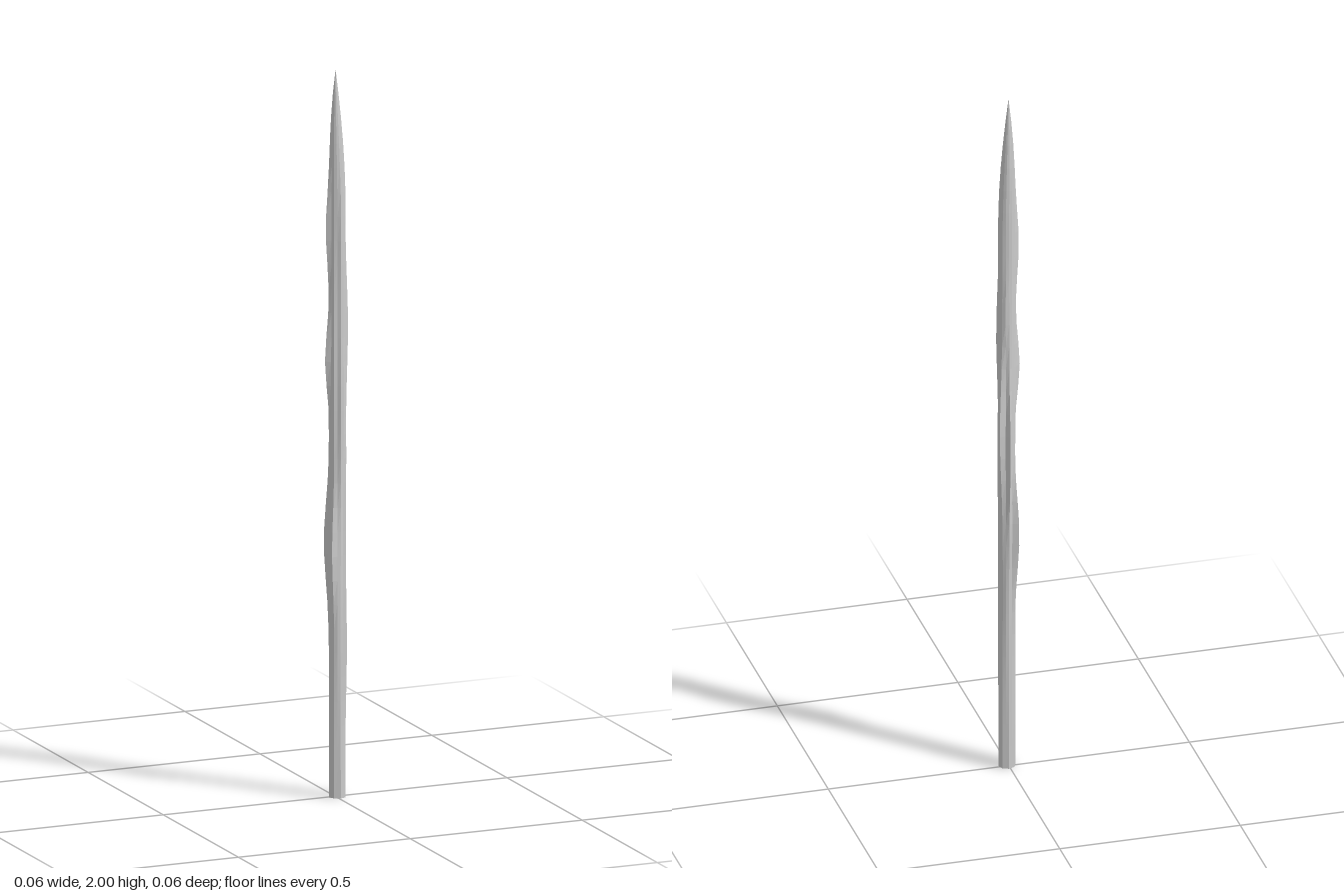
import * as THREE from 'three';

const SIDES = 16, RINGS = 30, HEIGHT = 2;

// Raised splinter ridges: [side index, height of the bulge, extra radius, half length]
const ridges = [
  [6, 0.68, 0.016, 0.16], [10, 0.70, 0.014, 0.18],
  [14, 1.0, 0.014, 0.22], [12, 0.95, 0.013, 0.2],
  [8, 1.2, 0.013, 0.13], [1, 1.3, 0.006, 0.2],
  [3, 1.05, 0.005, 0.2], [4, 1.55, 0.004, 0.18],
  [8, 1.56, 0.009, 0.14], [0, 0.95, 0.004, 0.25],
  [13, 1.35, 0.005, 0.15], [2, 0.4, 0.004, 0.2],
];

// Core radius: straight shaft, then a curved taper to a sharp point
function coreRadius(y) {
  const t = Math.max(0, (y - 1.6) / 0.4);
  return 0.0225 * (1 - Math.pow(t, 2.2)) + 0.0002;
}

// Radius of one corner of the rough cross-section
function radiusAt(side, y) {
  const taper = coreRadius(y) / 0.0225;
  let r = 0.0225 + (side % 2 ? -0.0012 : 0.0006);
  r += 0.0012 * Math.sin(side * 2.4 + y * 4.5) * Math.min(1, y * 2);
  for (const [s, h, extra, len] of ridges) {
    const gap = Math.min((side - s + SIDES) % SIDES, (s - side + SIDES) % SIDES);
    const spread = gap === 0 ? 1 : gap === 1 ? 0.2 : 0;
    r += extra * spread * Math.exp(-Math.pow((y - h) / len, 2) * 1.5);
  }
  return r * taper;
}

function spikeGeometry() {
  const geo = new THREE.CylinderGeometry(1, 1, HEIGHT, SIDES, RINGS);
  const pos = geo.attributes.position;
  for (let i = 0; i < pos.count; i++) {
    const x = pos.getX(i), z = pos.getZ(i), y = pos.getY(i) + HEIGHT / 2;
    const side = (Math.round(Math.atan2(z, x) / (Math.PI * 2 / SIDES)) + SIDES) % SIDES;
    const r = radiusAt(side, y);
    // The shaft sits slightly off axis and the tip returns towards the centre
    const lean = 1 - THREE.MathUtils.smoothstep(y, 1.6, 2);
    pos.setXYZ(i, x * r + 0.004 * lean, y, z * r + 0.003 + 0.002 * lean);
  }
  const flat = geo.toNonIndexed();
  flat.computeVertexNormals();
  return flat;
}

export function createModel() {
  const group = new THREE.Group();
  group.name = 'woodenStake';
  const material = new THREE.MeshStandardMaterial({ color: 0xcccccc, flatShading: true });
  const shaft = new THREE.Mesh(spikeGeometry(), material);
  shaft.name = 'sharpenedShaft';
  group.add(shaft);
  return group;
}
